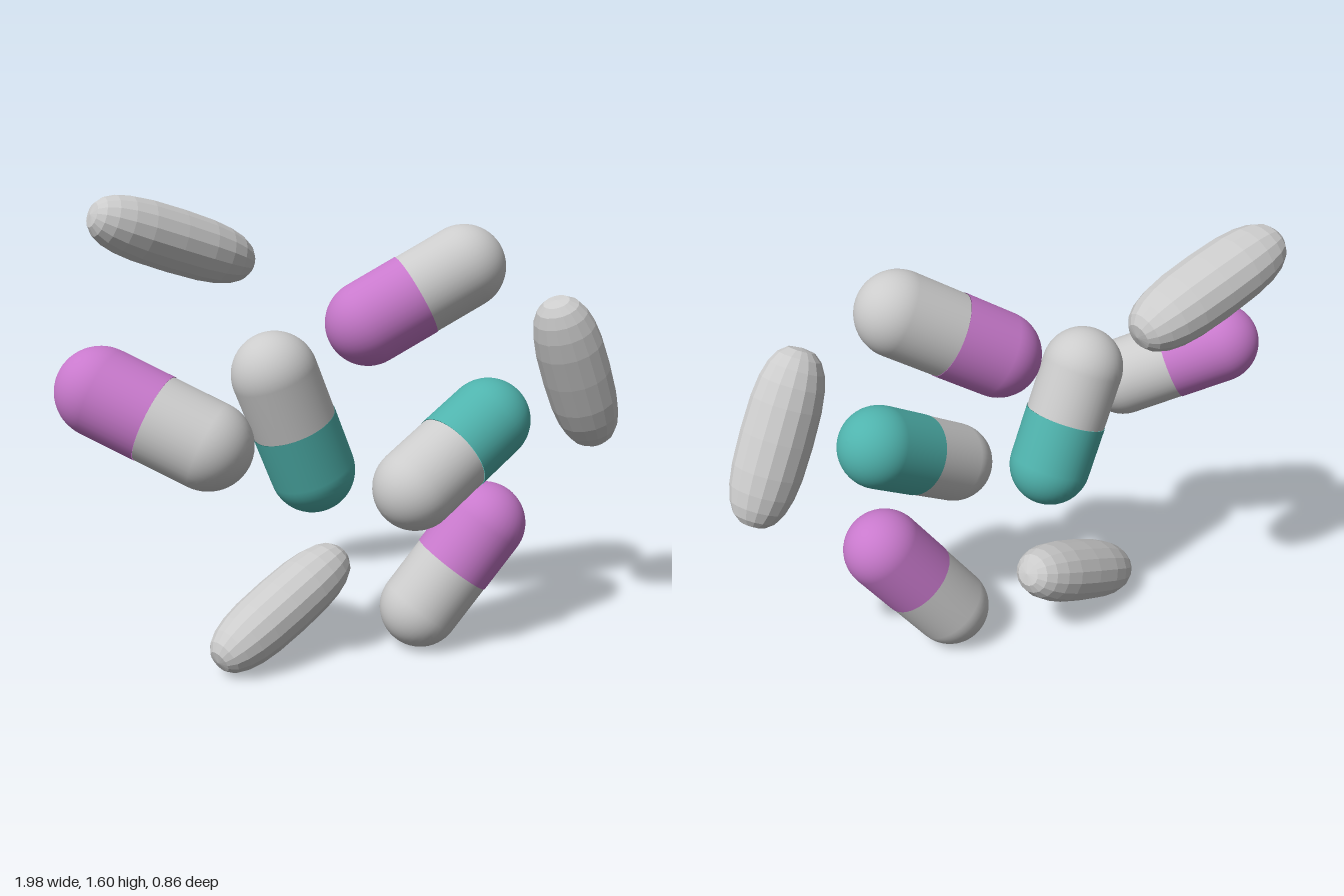
import * as THREE from 'three';

const GREY = 0xcccccc, PURPLE = 0xc879cc, TEAL = 0x4fb3ad;
const UP = new THREE.Vector3(0, 1, 0);

const material = (color, flatShading = false) =>
  new THREE.MeshStandardMaterial({ color, flatShading, side: THREE.DoubleSide });

// Half a capsule: an open tube closed by a dome, pointing along +y
function halfShell(radius, tube) {
  const points = [new THREE.Vector2(radius, 0)];
  for (let i = 0; i <= 14; i++) {
    const a = (i / 14) * Math.PI / 2;
    points.push(new THREE.Vector2(Math.max(0, radius * Math.cos(a)), tube + radius * Math.sin(a)));
  }
  return new THREE.LatheGeometry(points, 40);
}

// Two-tone capsule between the centres of its coloured and grey domes
function capsule(name, color, colouredEnd, greyEnd) {
  const a = new THREE.Vector3(...colouredEnd), b = new THREE.Vector3(...greyEnd);
  const half = a.distanceTo(b) / 2;
  const group = new THREE.Group();
  group.name = name;
  const cap = new THREE.Mesh(halfShell(0.146, half), material(color));
  cap.name = 'colouredHalf';
  const body = new THREE.Mesh(halfShell(0.144, half), material(GREY));
  body.name = 'greyHalf';
  body.rotation.x = Math.PI;
  group.add(cap, body);
  group.position.copy(a).add(b).multiplyScalar(0.5);
  group.quaternion.setFromUnitVectors(UP, a.sub(b).normalize());
  return group;
}

// Faceted oblong tablet: blunt superellipse profile, slightly flattened across
function tablet(name, center, direction) {
  const points = [];
  const rings = 12, power = 0.72;
  for (let i = 0; i <= rings; i++) {
    const a = (i / rings) * Math.PI - Math.PI / 2;
    const r = i % rings ? 0.122 * Math.pow(Math.cos(a), power) : 0;
    points.push(new THREE.Vector2(r, 0.308 * Math.sign(a) * Math.pow(Math.abs(Math.sin(a)), power)));
  }
  const geometry = new THREE.LatheGeometry(points, 16).scale(0.92, 1, 1);
  const mesh = new THREE.Mesh(geometry, material(GREY, true));
  mesh.name = name;
  mesh.position.set(...center);
  mesh.quaternion.setFromUnitVectors(UP, new THREE.Vector3(...direction).normalize());
  return mesh;
}

export function createModel() {
  const model = new THREE.Group();
  model.name = 'pills';
  // Two-tone capsules
  model.add(
    capsule('purpleCapsuleRight', PURPLE, [-0.857, 1.015, 0.08], [-0.564, 0.86, 0.262]),
    capsule('purpleCapsuleTop', PURPLE, [0.056, 1.176, 0.046], [0.377, 1.358, 0.11]),
    capsule('purpleCapsuleBottom', PURPLE, [0.466, 0.449, 0.145], [0.236, 0.148, 0.11]),
    capsule('tealCapsuleRight', TEAL, [-0.152, 0.685, 0.062], [-0.291, 1.032, 0.092]),
    capsule('tealCapsuleLeft', TEAL, [0.443, 0.838, 0.195], [0.134, 0.653, 0.283])
  );
  // Grey tablets
  model.add(
    tablet('tabletTop', [-0.524, 1.441, -0.301], [0.935, -0.325, -0.16]),
    tablet('tabletLeft', [0.797, 0.973, 0.176], [0.418, -0.889, -0.187]),
    tablet('tabletBottom', [-0.262, 0.195, 0.045], [0.85, 0.42, -0.33])
  );
  return model;
}
